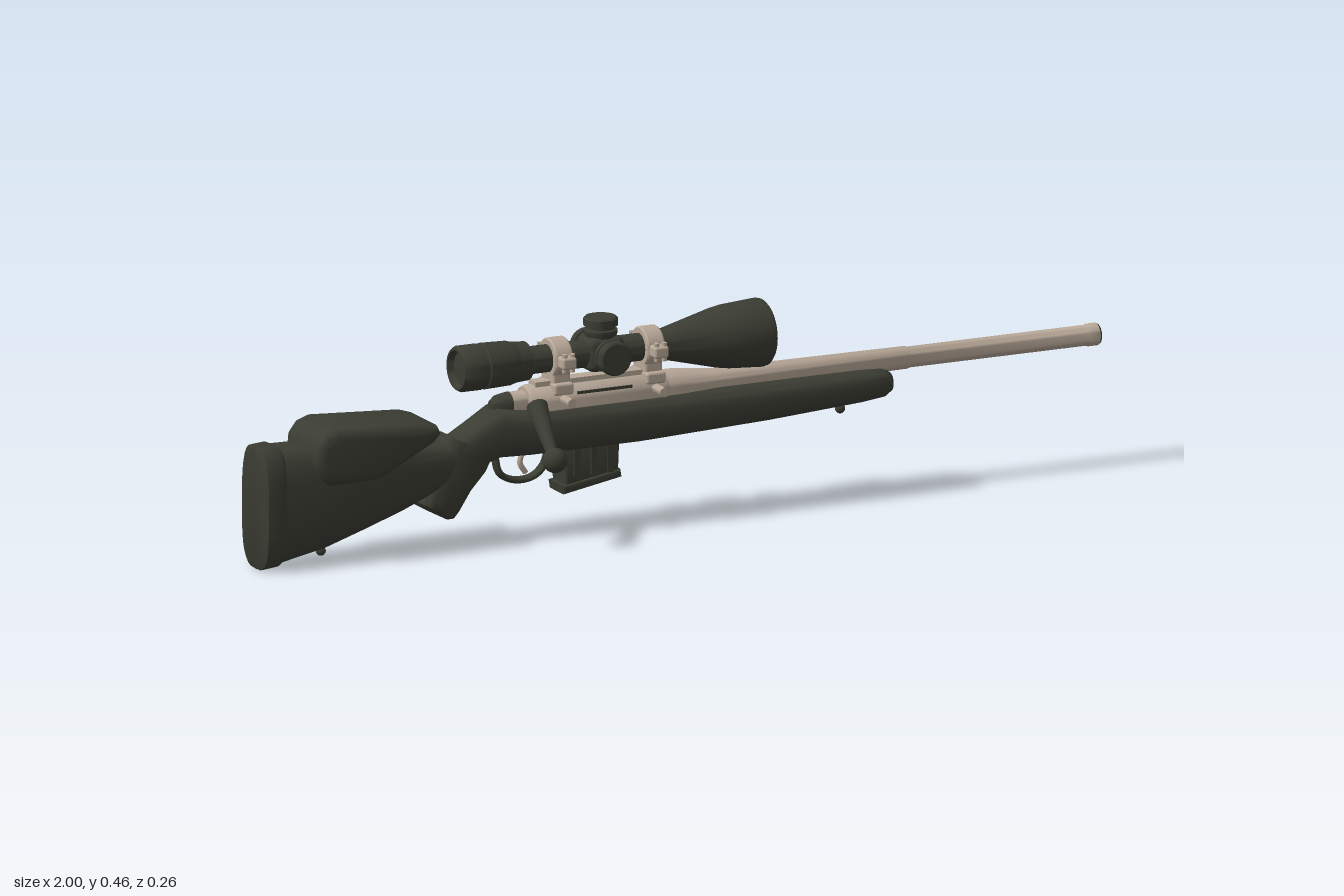
import * as THREE from 'three';
import { toCreasedNormals } from 'three/addons/utils/BufferGeometryUtils.js';
import { RoundedBoxGeometry } from 'three/addons/geometries/RoundedBoxGeometry.js';

const Z = -0.047; // centre plane of the rifle
const SCOPE_Y = 0.387;
const BORE_Y = 0.292;

export function createModel() {
  const root = new THREE.Group();
  const green = new THREE.MeshStandardMaterial({ color: 0x3b3d33 });
  green.name = 'dark olive';
  const tan = new THREE.MeshStandardMaterial({ color: 0xb8a898 });
  tan.name = 'tan metal';

  const add = (name, geo, mat, x = 0, y = 0, z = Z) => {
    const mesh = new THREE.Mesh(geo, mat);
    mesh.name = name;
    mesh.position.set(x, y, z);
    root.add(mesh);
    return mesh;
  };

  // Turned part along x; profile is a list of [x, radius]
  const turned = (name, profile, mat, y) => {
    const geo = new THREE.LatheGeometry(profile.map(([x, r]) => new THREE.Vector2(r, x)), 32);
    geo.rotateZ(-Math.PI / 2);
    return add(name, toCreasedNormals(geo, 0.6), mat, 0, y);
  };

  // Closed loft through superellipse rings: centre, half height, half width, height direction
  const loft = (sections) => {
    const N = 32, pos = [], index = [];
    const soft = (v) => Math.sign(v) * Math.pow(Math.abs(v), 0.6);
    for (const { x, y, h, w, dx = 0, dy = 1 } of sections) {
      for (let k = 0; k < N; k++) {
        const t = (k / N) * Math.PI * 2;
        const u = soft(Math.cos(t)) * h;
        pos.push(x + dx * u, y + dy * u, soft(Math.sin(t)) * w);
      }
    }
    for (let i = 0; i < sections.length - 1; i++) {
      for (let k = 0; k < N; k++) {
        const a = i * N + k, c = i * N + (k + 1) % N;
        index.push(a, c, a + N, c, c + N, a + N);
      }
    }
    const last = (sections.length - 1) * N;
    for (let k = 1; k < N - 1; k++) {
      index.push(0, k + 1, k, last, last + k, last + k + 1);
    }
    const geo = new THREE.BufferGeometry();
    geo.setAttribute('position', new THREE.Float32BufferAttribute(pos, 3));
    geo.setIndex(index);
    return toCreasedNormals(geo, 0.7);
  };
  const upright = ([x, top, bottom, w]) => ({ x, y: (top + bottom) / 2, h: (top - bottom) / 2, w });

  // Side outline extruded to a given full width, with rounded edges
  const plate = (points, width, bevel) => {
    const shape = new THREE.Shape(points.map(([x, y]) => new THREE.Vector2(x, y)));
    const geo = new THREE.ExtrudeGeometry(shape, {
      depth: width - 2 * bevel, bevelThickness: bevel, bevelSize: bevel,
      bevelOffset: -bevel, bevelSegments: 4, steps: 1,
    });
    geo.translate(0, 0, bevel - width / 2);
    return toCreasedNormals(geo, 0.6);
  };

  const tube = (points, r) => new THREE.TubeGeometry(
    new THREE.CatmullRomCurve3(points.map((p) => new THREE.Vector3(...p))), 32, r, 10);

  // Stock: butt, wrist and fore-end
  add('stock', loft([
    [-0.955, 0.27, 0.014, 0.064], [-0.85, 0.268, 0.036, 0.067], [-0.75, 0.262, 0.068, 0.063],
    [-0.66, 0.25, 0.098, 0.056], [-0.6, 0.236, 0.122, 0.05], [-0.54, 0.234, 0.14, 0.046],
    [-0.485, 0.265, 0.17, 0.047], [-0.43, 0.296, 0.188, 0.054], [-0.36, 0.285, 0.187, 0.062],
    [-0.1, 0.285, 0.188, 0.065], [0.2, 0.285, 0.2, 0.064], [0.42, 0.284, 0.214, 0.061],
    [0.475, 0.281, 0.22, 0.057], [0.493, 0.274, 0.23, 0.048], [0.5, 0.264, 0.242, 0.03],
  ].map(upright)), green);

  // Rubber pad behind the butt
  add('recoilPad', loft([
    [-1, 0.262, 0.016, 0.054], [-0.994, 0.273, 0.004, 0.064], [-0.96, 0.275, 0.008, 0.069],
    [-0.95, 0.27, 0.014, 0.064],
  ].map(upright)), green);

  // Pistol grip, from the wrist down
  add('grip', loft([
    [-0.495, 0.222, 0.06, 0.044], [-0.515, 0.19, 0.062, 0.047], [-0.542, 0.148, 0.052, 0.047],
    [-0.566, 0.104, 0.048, 0.046], [-0.575, 0.088, 0.045, 0.043], [-0.579, 0.081, 0.034, 0.034],
  ].map(([x, y, h, w]) => ({ x, y, h, w, dx: 0.88, dy: -0.47 }))), green);

  add('cheekRest', plate([
    [-0.888, 0.235], [-0.884, 0.275], [-0.865, 0.3], [-0.835, 0.31], [-0.625, 0.297],
    [-0.597, 0.288], [-0.588, 0.27], [-0.605, 0.252], [-0.725, 0.19], [-0.75, 0.184],
    [-0.855, 0.184], [-0.874, 0.2],
  ], 0.165, 0.022), green);

  // Sling studs
  for (const [x, y] of [[-0.84, 0.036], [0.39, 0.208]]) {
    add('slingStud', new THREE.CylinderGeometry(0.008, 0.008, 0.03, 12), green, x, y);
    add('slingStudHead', new THREE.SphereGeometry(0.011, 12, 8), green, x, y - 0.01);
  }

  // Barrel, with a dark hollow crown at the muzzle
  turned('barrel', [
    [-0.04, 0], [-0.04, 0.039], [0, 0.038], [0.09, 0.028], [0.545, 0.0245], [0.55, 0.0225],
    [0.97, 0.0225], [0.975, 0.0245], [0.996, 0.0245],
  ], tan, BORE_Y);
  turned('muzzleCrown', [
    [0.996, 0.0245], [1, 0.022], [1, 0.014], [0.965, 0.012], [0.965, 0],
  ], green, BORE_Y);

  // Receiver, bolt and shroud
  turned('receiver', [[-0.36, 0], [-0.36, 0.038], [-0.352, 0.042], [-0.04, 0.042], [-0.03, 0.038], [-0.03, 0]], tan, BORE_Y);
  turned('bolt', [[-0.4, 0], [-0.4, 0.026], [-0.35, 0.026]], tan, 0.297);
  turned('boltShroud', [[-0.44, 0], [-0.438, 0.012], [-0.425, 0.022], [-0.395, 0.027], [-0.395, 0]], green, 0.297);
  add('ejectionPort', new THREE.BoxGeometry(0.13, 0.006, 0.008), green, -0.185, 0.313, Z + 0.034);
  add('receiverRail', new THREE.BoxGeometry(0.3, 0.014, 0.034), tan, -0.19, 0.334);

  // Bolt handle with a tan outer strip, and its knob
  const from = new THREE.Vector3(-0.345, 0.295, Z + 0.035), to = new THREE.Vector3(-0.362, 0.212, 0.1);
  const arm = add('boltHandle', new THREE.CylinderGeometry(0.012, 0.023, from.distanceTo(to), 16), green);
  arm.position.copy(from).lerp(to, 0.5);
  arm.quaternion.setFromUnitVectors(new THREE.Vector3(0, 1, 0), to.clone().sub(from).normalize());
  const strip = new THREE.CylinderGeometry(0.0128, 0.0238, from.distanceTo(to), 8, 1, true, -0.6, 1.2);
  const armStrip = add('boltHandleStrip', strip, tan);
  armStrip.position.copy(arm.position);
  armStrip.quaternion.copy(arm.quaternion);
  add('boltKnob', new THREE.SphereGeometry(0.027, 24, 16), green, -0.362, 0.205, 0.108);

  // Trigger and guard
  add('triggerGuard', tube([[-0.43, 0.195, 0], [-0.417, 0.148, 0], [-0.385, 0.13, 0],
    [-0.34, 0.132, 0], [-0.312, 0.155, 0], [-0.3, 0.195, 0]], 0.0075), green).scale.z = 1.8;
  add('trigger', tube([[-0.36, 0.195, 0], [-0.368, 0.165, 0], [-0.355, 0.142, 0]], 0.006), tan);

  // Magazine with a lipped base and side ribs
  add('magazine', plate([[-0.278, 0.2], [-0.276, 0.104], [-0.15, 0.127], [-0.147, 0.2]], 0.066, 0.006), green);
  add('magazineBase', plate([[-0.284, 0.112], [-0.281, 0.093], [-0.144, 0.117], [-0.147, 0.135]], 0.074, 0.005), green);
  for (const side of [-1, 1]) {
    for (const x of [-0.25, -0.21, -0.17]) {
      add('magazineRib', new THREE.BoxGeometry(0.014, 0.06, 0.006), green, x, 0.16, Z + side * 0.033);
    }
  }

  // Scope: eyepiece, tube and objective bell
  turned('scopeBody', [
    [-0.505, 0.036], [-0.52, 0.04], [-0.52, 0.045], [-0.512, 0.05], [-0.47, 0.05], [-0.468, 0.047],
    [-0.46, 0.047], [-0.458, 0.05], [-0.4, 0.048], [-0.37, 0.04], [-0.36, 0.03], [-0.06, 0.03],
    [-0.03, 0.034], [0.09, 0.064], [0.12, 0.069], [0.195, 0.074], [0.205, 0.072], [0.21, 0.066],
    [0.21, 0.054], [0.204, 0.049], [0.185, 0.048],
  ], green, SCOPE_Y);
  turned('objectiveLens', [[0.18, 0.05], [0.186, 0.05], [0.19, 0]], green, SCOPE_Y);
  turned('eyepieceLens', [[-0.51, 0], [-0.506, 0.038], [-0.5, 0.038]], green, SCOPE_Y);
  turned('zoomRing', [[-0.385, 0.03], [-0.385, 0.044], [-0.355, 0.042], [-0.35, 0.03]], green, SCOPE_Y);

  // Turret block with knobs on top and both sides
  add('turretBlock', new RoundedBoxGeometry(0.085, 0.074, 0.074, 3, 0.016), green, -0.177, SCOPE_Y);
  for (const angle of [-Math.PI / 2, 0, Math.PI / 2]) {
    const profile = [[0.024, 0.02], [0.036, 0.042], [0.036, 0.05], [0.031, 0.052], [0.031, 0.057],
      [0.037, 0.059], [0.037, 0.074], [0.033, 0.078], [0, 0.078]];
    const knob = new THREE.LatheGeometry(profile.map(([r, y]) => new THREE.Vector2(r, y)), 24);
    add('turretKnob', toCreasedNormals(knob, 0.6), green, -0.177, SCOPE_Y).rotation.x = angle;
  }

  // Scope rings with side lugs, screws and clamp nuts
  for (const x of [-0.283, -0.065]) {
    turned('scopeRing', [[x - 0.021, 0.03], [x - 0.021, 0.041], [x - 0.017, 0.044],
      [x + 0.017, 0.044], [x + 0.021, 0.041], [x + 0.021, 0.03]], tan, SCOPE_Y);
    add('ringBase', new RoundedBoxGeometry(0.042, 0.045, 0.06, 2, 0.006), tan, x, 0.342);
    add('ringClamp', new RoundedBoxGeometry(0.046, 0.026, 0.085, 2, 0.006), tan, x, 0.325);
    add('ringLugs', new RoundedBoxGeometry(0.034, 0.026, 0.14, 2, 0.006), tan, x, SCOPE_Y);
    for (const side of [-1, 1]) {
      for (const dx of [-0.009, 0.009]) {
        const screw = new THREE.CylinderGeometry(0.006, 0.006, 0.04, 10);
        add('ringScrew', screw, tan, x + dx, SCOPE_Y, Z + side * 0.06);
      }
    }
    const nut = new THREE.CylinderGeometry(0.011, 0.011, 0.04, 6);
    add('clampNut', nut, tan, x, 0.303, Z + 0.06).rotation.x = Math.PI / 2;
  }
  return root;
}
